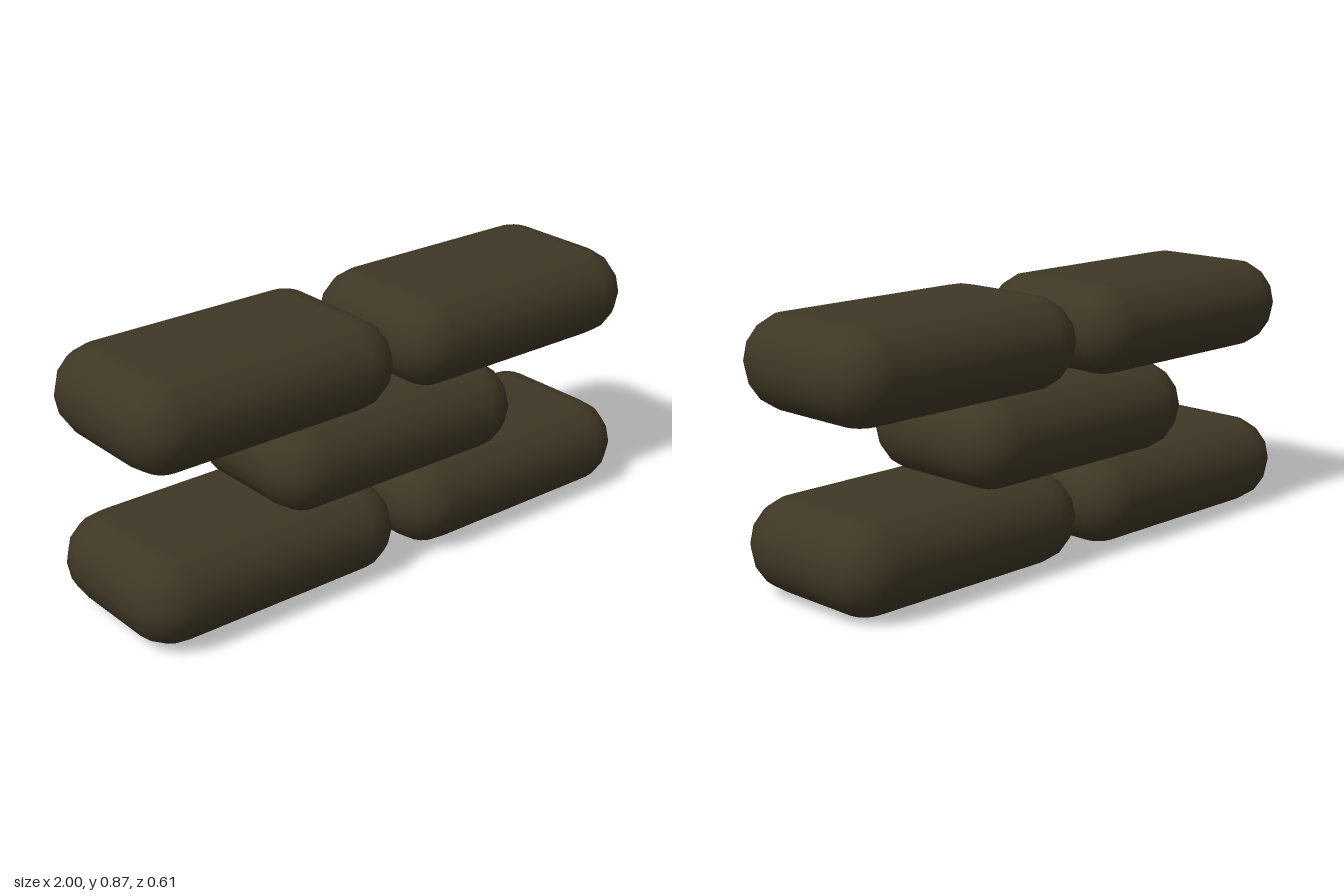
import * as THREE from 'three';

const R = 0.152; // rounding radius, half of the bag height
const ARC = 4; // segments per quarter turn

// Pillow-like block: a sphere pulled apart into four corners, with flat top and bottom
function bagGeometry(width, depth) {
  const cx = width / 2 - R, cz = depth / 2 - R;
  const pos = [], nor = [], idx = [];
  const ring = 4 * (ARC + 1);
  const corners = [[1, 1], [-1, 1], [-1, -1], [1, -1]];

  for (let i = 0; i <= 2 * ARC; i++) {
    const lat = -Math.PI / 2 + (i / (2 * ARC)) * Math.PI;
    corners.forEach(([sx, sz], q) => {
      for (let j = 0; j <= ARC; j++) {
        const a = (q + j / ARC) * Math.PI / 2;
        const nx = Math.cos(lat) * Math.cos(a), ny = Math.sin(lat), nz = Math.cos(lat) * Math.sin(a);
        pos.push(sx * cx + R * nx, R * ny, sz * cz + R * nz);
        nor.push(nx, ny, nz);
      }
    });
  }

  // Sides
  for (let i = 0; i < 2 * ARC; i++) {
    for (let j = 0; j < ring; j++) {
      const k = (j + 1) % ring;
      const a = i * ring + j, b = i * ring + k, c = a + ring, d = b + ring;
      idx.push(a, c, b, b, c, d);
    }
  }

  // Flat bottom and top, one vertex taken from each corner
  const [b0, b1, b2, b3] = [0, 1, 2, 3].map((q) => q * (ARC + 1));
  const t = 2 * ARC * ring;
  idx.push(b0, b1, b2, b0, b2, b3);
  idx.push(t + b0, t + b2, t + b1, t + b0, t + b3, t + b2);

  const g = new THREE.BufferGeometry();
  g.setAttribute('position', new THREE.Float32BufferAttribute(pos, 3));
  g.setAttribute('normal', new THREE.Float32BufferAttribute(nor, 3));
  g.setIndex(idx);
  return g;
}

export function createModel() {
  const model = new THREE.Group();
  model.name = 'sandbagStack';
  const sackcloth = new THREE.MeshStandardMaterial({ color: 0x3f3725 });
  sackcloth.name = 'darkSackcloth';
  const geometry = bagGeometry(0.985, 0.605);

  // Staggered courses, slightly sunk into one another
  const courses = [
    ['bottomBag', [-0.5075, 0.5075]],
    ['middleBag', [0]],
    ['topBag', [-0.5075, 0.5075]],
  ];
  courses.forEach(([name, xs], row) => {
    for (const x of xs) {
      const bag = new THREE.Mesh(geometry, sackcloth);
      bag.name = name + (x > 0 ? 'Left' : x < 0 ? 'Right' : '');
      bag.position.set(x, R + row * 0.2835, 0);
      model.add(bag);
    }
  });
  return model;
}
